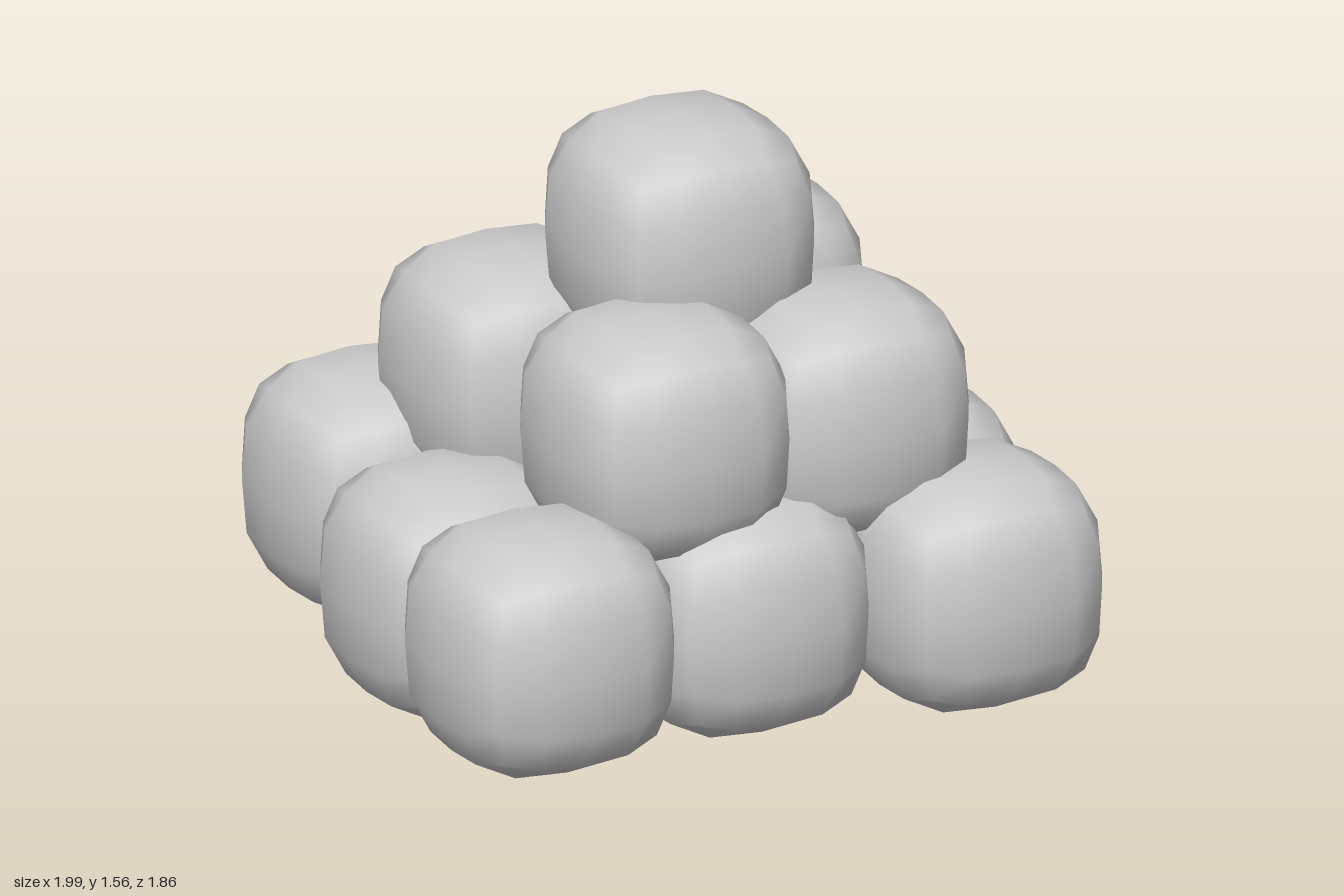
import * as THREE from 'three';
import { mergeVertices } from 'three/addons/utils/BufferGeometryUtils.js';

const RADIUS = 0.324;

// A cube puffed out into a soft, rounded block (cubic norm keeps it slightly square)
function roundedBlock() {
  let geo = new THREE.BoxGeometry(2, 2, 2, 4, 4, 4);
  geo.deleteAttribute('uv');
  geo.deleteAttribute('normal');
  geo = mergeVertices(geo);
  const pos = geo.attributes.position;
  const v = new THREE.Vector3();
  for (let i = 0; i < pos.count; i++) {
    v.fromBufferAttribute(pos, i);
    const norm = Math.cbrt(Math.abs(v.x) ** 3 + Math.abs(v.y) ** 3 + Math.abs(v.z) ** 3);
    v.multiplyScalar(RADIUS / norm);
    pos.setXYZ(i, v.x, v.y, v.z);
  }
  geo.computeVertexNormals();
  return geo;
}

// Block centres, layer by layer, each row from back to front
const LAYERS = {
  bottomLayer: [
    [-0.55, 0.445, -0.535], [0.02, 0.445, -0.535], [0.67, 0.375, -0.61],
    [-0.62, 0.375, 0.03], [-0.03, 0.39, -0.03], [0.67, 0.327, -0.03],
    [-0.676, 0.435, 0.605], [-0.035, 0.373, 0.468], [0.575, 0.375, 0.605],
  ],
  middleLayer: [
    [-0.28, 0.81, -0.293], [0.338, 0.89, -0.263],
    [-0.22, 0.86, 0.38], [0.32, 0.815, 0.35],
  ],
  topLayer: [[0.034, 1.244, 0.036]],
};

export function createModel() {
  const model = new THREE.Group();
  model.name = 'blockPile';
  const geometry = roundedBlock();
  const material = new THREE.MeshStandardMaterial({ color: 0xcccccc });
  for (const [name, centres] of Object.entries(LAYERS)) {
    const layer = new THREE.Group();
    layer.name = name;
    centres.forEach((c, i) => {
      const block = new THREE.Mesh(geometry, material);
      block.name = `roundedBlock${i + 1}`;
      block.position.set(...c);
      layer.add(block);
    });
    model.add(layer);
  }
  return model;
}
